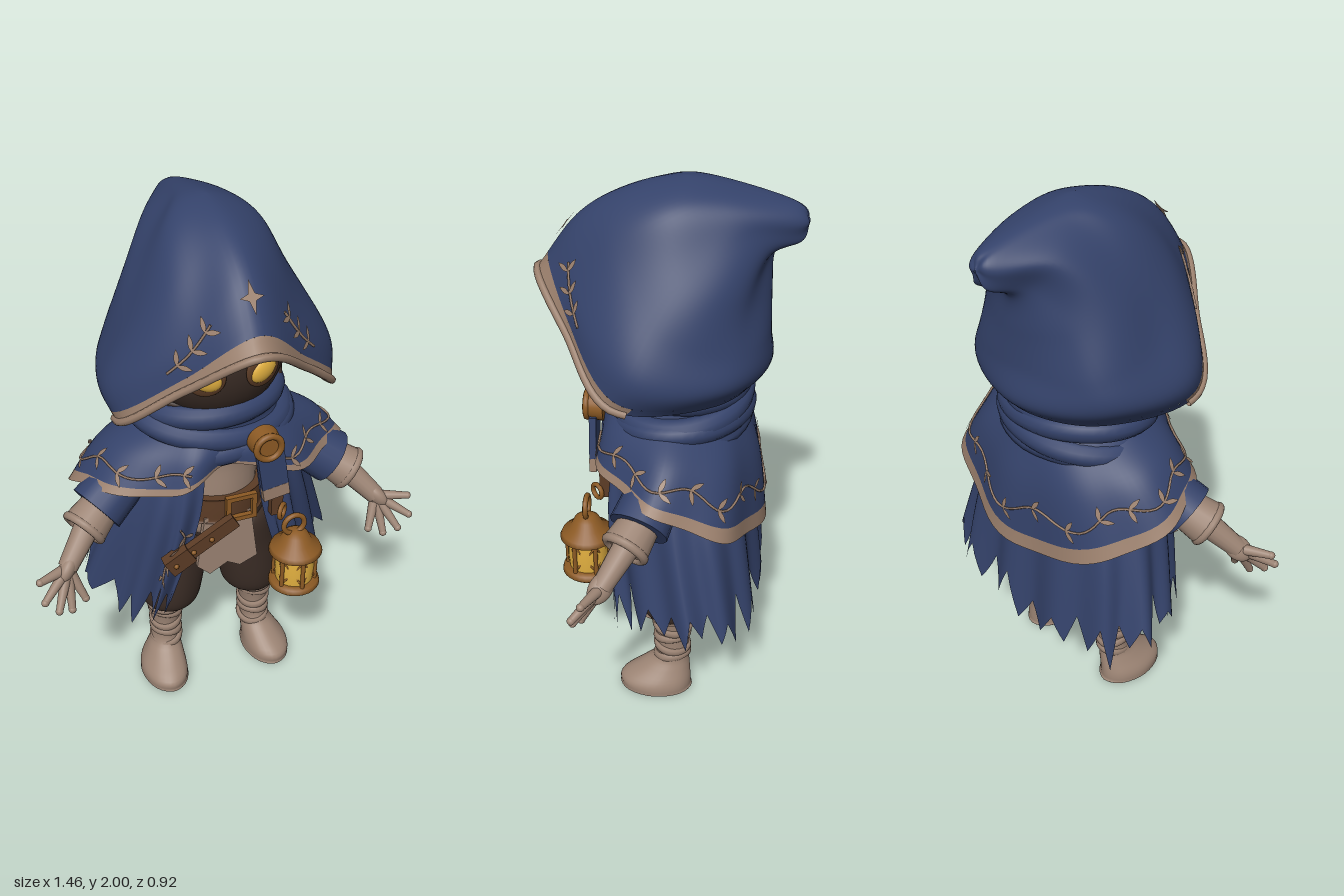
import * as THREE from 'three';

const V = (x, y, z) => new THREE.Vector3(x, y, z);
const mat = (name, color, side = THREE.FrontSide) => {
  const m = new THREE.MeshStandardMaterial({ color, side });
  m.name = name;
  return m;
};

export function createModel() {
  const root = new THREE.Group();
  root.name = 'hoodedWanderer';
  const cloth = mat('blueCloth', 0x34426a, THREE.DoubleSide);
  const trim = mat('beigeTrim', 0x9a7f6c, THREE.DoubleSide);
  const wrap = mat('beigeWraps', 0x9c8474, THREE.DoubleSide);
  const dark = mat('darkBrown', 0x3b2d26);
  const leather = mat('leather', 0x5c3c26);
  const brass = mat('brass', 0x8c5a24);
  const glow = mat('yellowGlow', 0xe2b040);

  let seed = 7;
  const rand = () => (seed = (seed * 16807) % 2147483647) / 2147483647;

  const add = (name, geo, m, x = 0, y = 0, z = 0, parent = root) => {
    const mesh = new THREE.Mesh(geo, m);
    mesh.name = name;
    mesh.position.set(x, y, z);
    parent.add(mesh);
    return mesh;
  };
  // round bar between two points
  const bar = (name, a, b, ra, rb, m, parent = root) => {
    const mesh = add(name, new THREE.CylinderGeometry(rb, ra, a.distanceTo(b), 16), m, 0, 0, 0, parent);
    mesh.position.lerpVectors(a, b, 0.5);
    mesh.quaternion.setFromUnitVectors(V(0, 1, 0), b.clone().sub(a).normalize());
    return mesh;
  };
  const ball = (name, m, x, y, z, rx, ry, rz) => {
    const mesh = add(name, new THREE.SphereGeometry(1, 28, 20), m, x, y, z);
    mesh.scale.set(rx, ry, rz);
    return mesh;
  };

  // smooth surface through rows of points: u runs around, t runs from top to bottom
  const surface = (rows, closed, bump = () => 0) => {
    const curves = rows.map(r => new THREE.CatmullRomCurve3(r.map(p => V(...p)), closed, 'catmullrom'));
    const at = (u, t) => {
      const w = closed ? ((u % 1) + 1) % 1 : u;
      const p = new THREE.CatmullRomCurve3(curves.map(c => c.getPoint(w)), false, 'catmullrom').getPoint(t);
      const k = bump(w, t), r = Math.hypot(p.x, p.z + 0.05) || 1;
      return V(p.x * (1 + k / r), p.y, p.z + k * (p.z + 0.05) / r);
    };
    const normal = (u, t) => {
      const du = at(u + 0.004, t).sub(at(u - 0.004, t)), dt = at(u, t + 0.004).sub(at(u, t - 0.004));
      return dt.cross(du).normalize();
    };
    return { at, normal, closed };
  };
  const loft = (name, s, m, nu, nt, { u0 = 0, u1 = 1, t0 = 0, t1 = () => 1 } = {}) => {
    const loop = s.closed && u1 - u0 === 1, cols = loop ? nu : nu + 1, pos = [], idx = [];
    for (let j = 0; j <= nt; j++) for (let i = 0; i < cols; i++) {
      const u = u0 + (u1 - u0) * i / nu;
      pos.push(...s.at(u, t0 + (t1(u) - t0) * j / nt).toArray());
    }
    for (let j = 0; j < nt; j++) for (let i = 0; i < nu; i++) {
      const a = j * cols + i, b = j * cols + (i + 1) % cols, c = a + cols, d = b + cols;
      idx.push(a, c, b, b, c, d);
    }
    const g = new THREE.BufferGeometry();
    g.setAttribute('position', new THREE.Float32BufferAttribute(pos, 3));
    g.setIndex(idx);
    g.computeVertexNormals();
    return add(name, g, m);
  };
  // mirror a front-to-back half row
  const flip = p => [-p[0], p[1], p[2]];
  const ringRow = h => [...h, ...h.slice(1, -1).reverse().map(flip)];
  const openRow = h => [...h, ...h.slice(0, -1).reverse().map(flip)];
  // stack of ellipses [y, cx, cz, rx, rz], top to bottom, closed at both ends
  const stack = (name, list, m, nt = 24) => {
    const first = list[0], last = list[list.length - 1];
    const full = [[...first.slice(0, 3), 0.001, 0.001], ...list, [...last.slice(0, 3), 0.001, 0.001]];
    const rows = full.map(([y, cx, cz, rx, rz]) => Array.from({ length: 8 }, (_, i) =>
      [cx + rx * Math.sin(i * Math.PI / 4), y, cz + rz * Math.cos(i * Math.PI / 4)]));
    return loft(name, surface(rows, true), m, 32, nt);
  };

  // embroidered leaves and stems that follow a surface
  const leaf = new THREE.Shape().moveTo(0, 0).quadraticCurveTo(0.018, 0.022, 0, 0.055).quadraticCurveTo(-0.018, 0.022, 0, 0);
  const leafGeo = new THREE.ShapeGeometry(leaf, 5);
  const decal = (name, geo, s, u, t, dir, turn = 0) => {
    const n = s.normal(u, t), y = dir.clone().addScaledVector(n, -dir.dot(n)).normalize();
    y.applyAxisAngle(n, turn);
    const mesh = add(name, geo, trim);
    mesh.quaternion.setFromRotationMatrix(new THREE.Matrix4().makeBasis(y.clone().cross(n), y, n));
    mesh.position.copy(s.at(u, t)).addScaledVector(n, 0.008);
  };
  const vine = (s, path, leaves) => {
    const pts = Array.from({ length: leaves * 3 + 1 }, (_, i) => {
      const [u, t] = path(i / (leaves * 3));
      return s.at(u, t).addScaledVector(s.normal(u, t), 0.004);
    });
    add('vineStem', new THREE.TubeGeometry(new THREE.CatmullRomCurve3(pts), leaves * 6, 0.0045, 5), trim);
    for (let i = 0; i < leaves; i++) {
      const f = (i + 0.6) / leaves, [u, t] = path(f), [u2, t2] = path(f + 0.02);
      const dir = s.at(u2, t2).sub(s.at(u, t));
      for (const a of [-0.9, 0.9]) decal('vineLeaf', leafGeo, s, u, t, dir, a);
    }
  };

  // hood, from the drooping tip down to the pointed opening
  const hood = surface([
    [[0, 1.87, -0.455], [0.002, 1.868, -0.455], [0.003, 1.865, -0.455], [0.002, 1.862, -0.455], [0, 1.86, -0.455]],
    [[0, 1.925, -0.4], [0.035, 1.915, -0.41], [0.055, 1.86, -0.425], [0.035, 1.81, -0.43], [0, 1.8, -0.42]],
    [[0, 1.99, -0.15], [0.09, 1.96, -0.17], [0.15, 1.87, -0.25], [0.1, 1.78, -0.32], [0, 1.75, -0.345]],
    [[0, 2.0, -0.02], [0.16, 1.92, 0], [0.26, 1.75, -0.1], [0.2, 1.65, -0.27], [0, 1.63, -0.335]],
    [[0, 1.96, 0.14], [0.19, 1.81, 0.16], [0.34, 1.6, 0], [0.28, 1.5, -0.25], [0, 1.5, -0.345]],
    [[0, 1.86, 0.3], [0.2, 1.66, 0.28], [0.41, 1.45, 0.07], [0.32, 1.4, -0.22], [0, 1.38, -0.365]],
    [[0, 1.67, 0.45], [0.21, 1.52, 0.32], [0.385, 1.34, 0.15], [0.27, 1.31, -0.18], [0, 1.31, -0.31]],
  ].map(ringRow), true, (u, t) => 0.04 * t * (1 - t) * Math.sin(10 * Math.PI * u + 9 * t));
  loft('hood', hood, cloth, 80, 48, { t1: () => 0.955 });
  loft('hoodTrim', hood, trim, 40, 4, { u0: -0.27, u1: 0.27, t0: 0.955 });
  loft('hoodBackHem', hood, cloth, 40, 4, { u0: 0.27, u1: 0.73, t0: 0.955 });
  const rim = Array.from({ length: 25 }, (_, i) => hood.at(-0.27 + 0.54 * i / 24, 1));
  add('hoodRim', new THREE.TubeGeometry(new THREE.CatmullRomCurve3(rim), 48, 0.014, 8), trim);
  const star = new THREE.Shape();
  for (let i = 0; i < 8; i++) {
    const r = i % 2 ? 0.016 : i % 4 ? 0.04 : 0.055, a = i * Math.PI / 4;
    star[i ? 'lineTo' : 'moveTo'](r * Math.sin(a), r * Math.cos(a));
  }
  decal('hoodStar', new THREE.ShapeGeometry(star), hood, 0, 0.875, V(0, 1, 0));
  for (const s of [-1, 1]) vine(hood, f => [s * (0.15 - 0.075 * f), 0.895 - 0.035 * f], 3);

  // shadowed face and glowing eyes
  ball('face', dark, 0, 1.49, 0.03, 0.25, 0.25, 0.2);
  ball('neckShadow', dark, 0, 1.33, -0.06, 0.28, 0.05, 0.22);
  for (const s of [-1, 1]) {
    const socket = ball('eyeSocket', leather, s * 0.1, 1.48, 0.212, 0.068, 0.068, 0.016);
    const eye = ball('eye', glow, s * 0.1, 1.48, 0.218, 0.055, 0.042, 0.022);
    socket.rotation.y = s * 0.3;
    eye.rotation.set(0, s * 0.3, s * 0.5);
  }

  // wrapped scarf
  stack('scarf', [[1.35, 0, -0.04, 0.2, 0.19], [1.3, 0, -0.04, 0.25, 0.23], [1.24, 0, -0.04, 0.25, 0.23],
    [1.19, 0, -0.04, 0.29, 0.25], [1.12, 0, -0.04, 0.29, 0.24]], cloth);
  [[1.285, 0.235, 0.215, 0.045, 0.06, 0.05], [1.225, 0.265, 0.225, 0.045, -0.1, -0.1], [1.17, 0.27, 0.23, 0.045, -0.08, 0.08]]
    .forEach(([y, rx, rz, r, tx, tz]) => {
      const g = new THREE.TorusGeometry(1, r / 0.25, 12, 48).rotateX(Math.PI / 2).scale(rx, 0.25, rz);
      add('scarfRoll', g, cloth, 0, y, -0.04).rotation.set(-tx, 0, tz);
    });
  const brooch = add('brooch', new THREE.CylinderGeometry(0.052, 0.058, 0.06, 24).rotateX(Math.PI / 2), brass, 0.105, 1.2, 0.25);
  add('broochRim', new THREE.TorusGeometry(0.046, 0.012, 8, 24), brass, 0, 0, 0.03, brooch);
  const tail = add('scarfTail', new THREE.BoxGeometry(0.1, 0.16, 0.025), cloth, 0.13, 1.09, 0.255);
  tail.rotation.z = 0.15;
  add('scarfTailEnd', new THREE.BoxGeometry(0.1, 0.05, 0.026), trim, 0, -0.1, 0, tail);

  // shoulder cape with border and vine
  const cape = surface([
    [[0, 1.22, 0.19], [0.15, 1.23, 0.16], [0.26, 1.22, -0.03], [0.17, 1.2, -0.2], [0, 1.18, -0.27]],
    [[0, 1.17, 0.22], [0.2, 1.15, 0.2], [0.4, 1.14, -0.02], [0.3, 1.07, -0.24], [0, 1.0, -0.33]],
    [[0, 1.12, 0.22], [0.24, 1.04, 0.23], [0.5, 1.02, 0.02], [0.42, 0.87, -0.25], [0, 0.74, -0.36]],
  ].map(ringRow), true, (u, t) => 0.012 * t * Math.sin(18 * Math.PI * u));
  loft('shoulderCape', cape, cloth, 96, 16, { t1: () => 0.89 });
  loft('shoulderCapeTrim', cape, trim, 96, 3, { t0: 0.89 });
  vine(cape, f => [0.09 + 0.82 * f, 0.71 + 0.06 * Math.sin(f * 44)], 18);

  // long cloak with a torn hem, open at the front
  const cloak = surface([
    [[0.09, 1.12, 0.19], [0.2, 1.12, 0.14], [0.3, 1.13, -0.02], [0.2, 1.1, -0.2], [0, 1.08, -0.26]],
    [[0.13, 0.85, 0.2], [0.26, 0.85, 0.17], [0.4, 0.85, -0.05], [0.32, 0.82, -0.25], [0, 0.8, -0.31]],
    [[0.27, 0.38, 0.17], [0.36, 0.35, 0.12], [0.53, 0.44, -0.13], [0.39, 0.36, -0.32], [0, 0.35, -0.36]],
  ].map(openRow), false, (u, t) => 0.022 * t * Math.sin(26 * Math.PI * u));
  const teeth = 27;
  const tips = Array.from({ length: teeth + 1 }, () => 0.09 * rand());
  const valleys = Array.from({ length: teeth + 1 }, () => 0.12 + 0.12 * rand());
  loft('cloak', cloak, cloth, teeth * 6, 24, {
    t1: u => {
      const f = u * teeth, k = Math.floor(f + 1e-6), tri = 1 - Math.abs(2 * (f - k) - 1);
      return 1 - tips[k] * tri - valleys[Math.round(f)] * (1 - tri);
    },
  });
  vine(cloak, f => [0.94 + 0.02 * Math.sin(f * 6), 0.48 + 0.27 * f], 4);

  // tunic, front flap and belt
  stack('tunic', [[1.2, 0, -0.02, 0.2, 0.17], [1.05, 0, -0.01, 0.17, 0.17], [0.9, 0, 0, 0.165, 0.165], [0.76, 0, 0, 0.17, 0.15]], wrap);
  const flap = new THREE.Shape([[-0.09, 0.86], [0.09, 0.86], [0.12, 0.63], [0.05, 0.6], [0, 0.63], [-0.07, 0.59], [-0.12, 0.64]]
    .map(p => new THREE.Vector2(...p)));
  add('tunicFlap', new THREE.ExtrudeGeometry(flap, { depth: 0.02, bevelEnabled: false }), wrap, 0, 0, 0.15);
  stack('belt', [[0.945, 0, 0, 0.18, 0.18], [0.935, 0, 0, 0.188, 0.188], [0.85, 0, 0, 0.188, 0.188], [0.84, 0, 0, 0.18, 0.18]], leather);
  for (const s of [-1, 1]) {
    add('buckleSide', new THREE.BoxGeometry(0.018, 0.1, 0.02), brass, 0.04 + s * 0.05, 0.9, 0.195);
    add('buckleBar', new THREE.BoxGeometry(0.118, 0.018, 0.02), brass, 0.04, 0.9 + s * 0.045, 0.195);
  }
  const strap = add('hipStrap', new THREE.BoxGeometry(0.3, 0.055, 0.03), leather, -0.12, 0.79, 0.215);
  strap.rotation.z = 0.53;
  add('hipPouch', new THREE.BoxGeometry(0.1, 0.075, 0.045), leather, -0.1, 0, 0, strap);
  for (const x of [-0.12, -0.04, 0.04]) add('strapStud', new THREE.SphereGeometry(0.01, 8, 6), brass, x, 0, x < -0.1 ? 0.023 : 0.016, strap);

  // legs, wrapped shins, feet, sleeves and hands
  stack('hips', [[0.84, 0, -0.01, 0.17, 0.15], [0.7, 0, -0.02, 0.22, 0.14], [0.6, 0, -0.02, 0.17, 0.11]], dark);
  for (const s of [-1, 1]) {
    stack('trouserLeg', [[0.76, s * 0.12, -0.02, 0.1, 0.13], [0.6, s * 0.14, -0.02, 0.12, 0.13], [0.45, s * 0.16, -0.02, 0.12, 0.125],
      [0.37, s * 0.17, -0.025, 0.112, 0.115], [0.34, s * 0.175, -0.03, 0.08, 0.085]], dark);
    stack('wrappedLegAndFoot', [[0.36, s * 0.185, -0.03, 0.07, 0.075], [0.25, s * 0.19, -0.03, 0.058, 0.065], [0.15, s * 0.195, -0.03, 0.056, 0.065],
      [0.1, s * 0.205, -0.005, 0.07, 0.095], [0.05, s * 0.22, 0.03, 0.088, 0.135], [0.015, s * 0.222, 0.032, 0.092, 0.138],
      [0.003, s * 0.22, 0.03, 0.084, 0.13]], wrap, 32);
    [[0.34, 0.068, 0.1], [0.29, 0.06, -0.2], [0.24, 0.056, 0.18], [0.19, 0.055, -0.15], [0.145, 0.056, 0.2]].forEach(([y, r, a]) =>
      add('legWrap', new THREE.TorusGeometry(r, 0.011, 8, 28).rotateX(Math.PI / 2).scale(1, 1.8, 1.12), wrap, s * 0.19, y, -0.03).rotation.set(a, 0, a));

    bar('sleeve', V(s * 0.26, 1.07, -0.02), V(s * 0.46, 0.93, 0.06), 0.09, 0.105, cloth);
    bar('cuff', V(s * 0.43, 0.945, 0.05), V(s * 0.52, 0.885, 0.1), 0.07, 0.085, wrap);
    const fold = add('cuffFold', new THREE.TorusGeometry(0.072, 0.016, 10, 28), wrap, s * 0.518, 0.887, 0.098);
    fold.quaternion.setFromUnitVectors(V(0, 0, 1), V(s * 0.09, -0.06, 0.05).normalize());
    const palm = V(s * 0.605, 0.785, 0.17);
    bar('wrist', V(s * 0.5, 0.895, 0.09), palm, 0.048, 0.036, wrap);
    const hand = ball('palm', wrap, palm.x, palm.y, palm.z, 0.042, 0.06, 0.03);
    hand.quaternion.setFromUnitVectors(V(0, 1, 0), V(s * 0.6, -0.65, 0.45).normalize());
    [[0.715, 0.79, 0.22], [0.71, 0.725, 0.255], [0.665, 0.675, 0.26], [0.615, 0.65, 0.24], [0.56, 0.67, 0.22]].forEach(([x, y, z], i) => {
      const tip = V(s * x, y, z), base = palm.clone().lerp(tip, 0.2);
      bar(i === 4 ? 'thumb' : 'finger', base, tip, 0.02, 0.013, wrap);
      ball('fingertip', wrap, tip.x, tip.y, tip.z, 0.014, 0.014, 0.014);
    });
  }

  // hanging lantern
  const lantern = new THREE.Group();
  lantern.name = 'lantern';
  lantern.position.set(0.225, 0.555, 0.28);
  root.add(lantern);
  const turned = (name, pts, m) =>
    add(name, new THREE.LatheGeometry(pts.map(p => new THREE.Vector2(...p)), 28), m, 0, 0, 0, lantern);
  turned('lanternBase', [[0, 0], [0.085, 0], [0.097, 0.012], [0.092, 0.03], [0.075, 0.035], [0, 0.035]], brass);
  turned('lanternGlass', [[0.07, 0.03], [0.074, 0.09], [0.07, 0.155]], glow);
  turned('lanternRoof', [[0, 0.15], [0.085, 0.15], [0.1, 0.162], [0.092, 0.18], [0.06, 0.205], [0.045, 0.235], [0.025, 0.25], [0, 0.252]], brass);
  const rib = (i, y) => V(0.077 * Math.sin(i * Math.PI / 3), y, 0.077 * Math.cos(i * Math.PI / 3));
  for (let i = 0; i < 6; i++) {
    bar('lanternPost', rib(i, 0.03), rib(i, 0.155), 0.008, 0.008, brass, lantern);
    bar('lanternCross', rib(i, 0.04), rib(i + 1, 0.15), 0.004, 0.004, brass, lantern);
    bar('lanternCross', rib(i, 0.15), rib(i + 1, 0.04), 0.004, 0.004, brass, lantern);
  }
  add('lanternRing', new THREE.TorusGeometry(0.04, 0.01, 8, 24), brass, -0.01, 0.28, 0, lantern);
  add('lanternHook', new THREE.TorusGeometry(0.026, 0.009, 8, 20), brass, -0.045, 0.325, -0.035, lantern).rotation.y = 0.8;
  add('lanternStrap', new THREE.BoxGeometry(0.045, 0.1, 0.05), leather, -0.06, 0.355, -0.07, lantern);

  return root;
}
